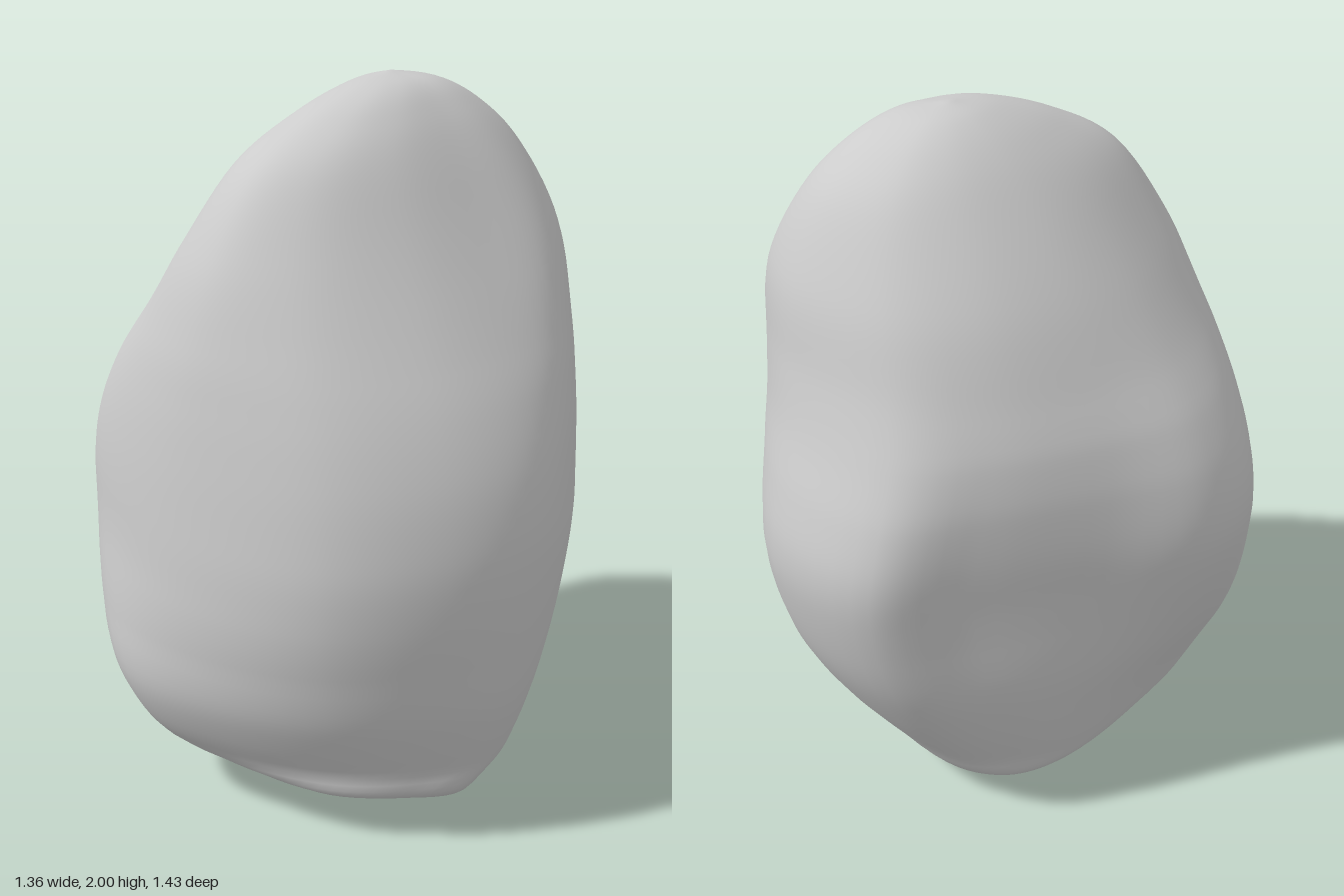
import * as THREE from 'three';
import { mergeVertices } from 'three/addons/utils/BufferGeometryUtils.js';

const SIDES = 78, RINGS = 102;

// Extents of the boulder by height: y, xMin, xMax, zMin, zMax
const LEVELS = [
  [0, 0.02, 0.02, 0.02, 0.02],
  [0.004, -0.16, 0.18, -0.12, 0.15],
  [0.025, -0.3, 0.34, -0.22, 0.24],
  [0.1, -0.42, 0.5, -0.32, 0.38],
  [0.2, -0.47, 0.57, -0.4, 0.59],
  [0.4, -0.53, 0.635, -0.54, 0.705],
  [0.6, -0.6, 0.665, -0.645, 0.712],
  [0.8, -0.66, 0.68, -0.7, 0.7],
  [0.95, -0.68, 0.675, -0.708, 0.688],
  [1.1, -0.66, 0.645, -0.675, 0.673],
  [1.25, -0.603, 0.585, -0.625, 0.652],
  [1.4, -0.515, 0.5, -0.59, 0.62],
  [1.6, -0.405, 0.385, -0.553, 0.55],
  [1.8, -0.265, 0.265, -0.46, 0.415],
  [1.91, -0.17, 0.185, -0.35, 0.23],
  [1.975, -0.08, 0.11, -0.23, 0.05],
  [2.0, 0.01, 0.01, -0.1, -0.1],
];

// Cross-section outlines (x, z), running from right to front, left and back
const FOOT = [[0.5, 0.13], [0.4, 0.26], [0.25, 0.36], [0.07, 0.35], [-0.13, 0.28], [-0.29, 0.2], [-0.39, 0.08],
  [-0.42, -0.06], [-0.39, -0.19], [-0.28, -0.29], [-0.05, -0.32], [0.2, -0.22], [0.41, -0.03]];
const KNEE = [[0.59, 0.09], [0.51, 0.27], [0.35, 0.45], [0.09, 0.59], [-0.2, 0.64], [-0.38, 0.5], [-0.46, 0.26],
  [-0.49, 0], [-0.44, -0.2], [-0.32, -0.37], [-0.03, -0.43], [0.28, -0.3], [0.49, -0.12]];
const BELLY = [[0.675, 0.05], [0.61, 0.33], [0.4, 0.59], [0, 0.71], [-0.38, 0.64], [-0.62, 0.46], [-0.675, 0.25],
  [-0.59, -0.03], [-0.485, -0.37], [-0.39, -0.625], [-0.05, -0.71], [0.35, -0.49], [0.58, -0.21]];
const CROWN = [[0.29, -0.1], [0.265, 0.13], [0.18, 0.33], [0.05, 0.43], [-0.08, 0.405], [-0.18, 0.28], [-0.26, 0.12],
  [-0.29, -0.05], [-0.26, -0.25], [-0.16, -0.4], [0.04, -0.48], [0.21, -0.44], [0.29, -0.3]];

// Scale an outline so its bounds become 0..1 both ways
function normalise(points) {
  const box = new THREE.Box2().setFromPoints(points);
  const size = box.getSize(new THREE.Vector2());
  return points.map((p) => p.clone().sub(box.min).divide(size));
}

function smoothOutline(pairs) {
  const curve = new THREE.CatmullRomCurve3(
    pairs.map(([x, z]) => new THREE.Vector3(x, 0, z)), true, 'centripetal');
  const points = [];
  for (let j = 0; j < SIDES; j++) {
    const p = curve.getPoint(j / SIDES);
    points.push(new THREE.Vector2(p.x, p.z));
  }
  return normalise(points);
}

function boulderGeometry() {
  const [foot, knee, belly, crown] = [FOOT, KNEE, BELLY, CROWN].map(smoothOutline);
  const rail = (xi, zi) => new THREE.CatmullRomCurve3(
    LEVELS.map((l) => new THREE.Vector3(l[xi], l[0], l[zi])), false, 'catmullrom', 0.5);
  const low = rail(1, 3), high = rail(2, 4);

  const positions = [], index = [];
  for (let i = 0; i <= RINGS; i++) {
    const a = low.getPoint(i / RINGS), b = high.getPoint(i / RINGS);
    const y = Math.min(2, Math.max(0, a.y));
    // Blend the outlines upwards from foot to crown
    const toKnee = THREE.MathUtils.smoothstep(y, 0.05, 0.23);
    const toBelly = THREE.MathUtils.smoothstep(y, 0.2, 0.9);
    const toCrown = THREE.MathUtils.smoothstep(y, 0.9, 1.75);
    const ring = normalise(foot.map((p, j) =>
      p.clone().lerp(knee[j], toKnee).lerp(belly[j], toBelly).lerp(crown[j], toCrown)));
    for (const p of ring) {
      positions.push(a.x + (b.x - a.x) * p.x, y, a.z + (b.z - a.z) * p.y);
    }
  }
  for (let i = 0; i < RINGS; i++) {
    for (let j = 0; j < SIDES; j++) {
      const k = (j + 1) % SIDES;
      const a = i * SIDES + j, b = i * SIDES + k;
      index.push(a, a + SIDES, b, b, a + SIDES, b + SIDES);
    }
  }
  let geometry = new THREE.BufferGeometry();
  geometry.setAttribute('position', new THREE.Float32BufferAttribute(positions, 3));
  geometry.setIndex(index);
  geometry = mergeVertices(geometry, 1e-5); // closes both poles
  geometry.computeVertexNormals();
  return geometry;
}

export function createModel() {
  const group = new THREE.Group();
  group.name = 'rock';
  const boulder = new THREE.Mesh(boulderGeometry(), new THREE.MeshStandardMaterial({ color: 0xcccccc }));
  boulder.name = 'boulder';
  group.add(boulder);
  return group;
}
